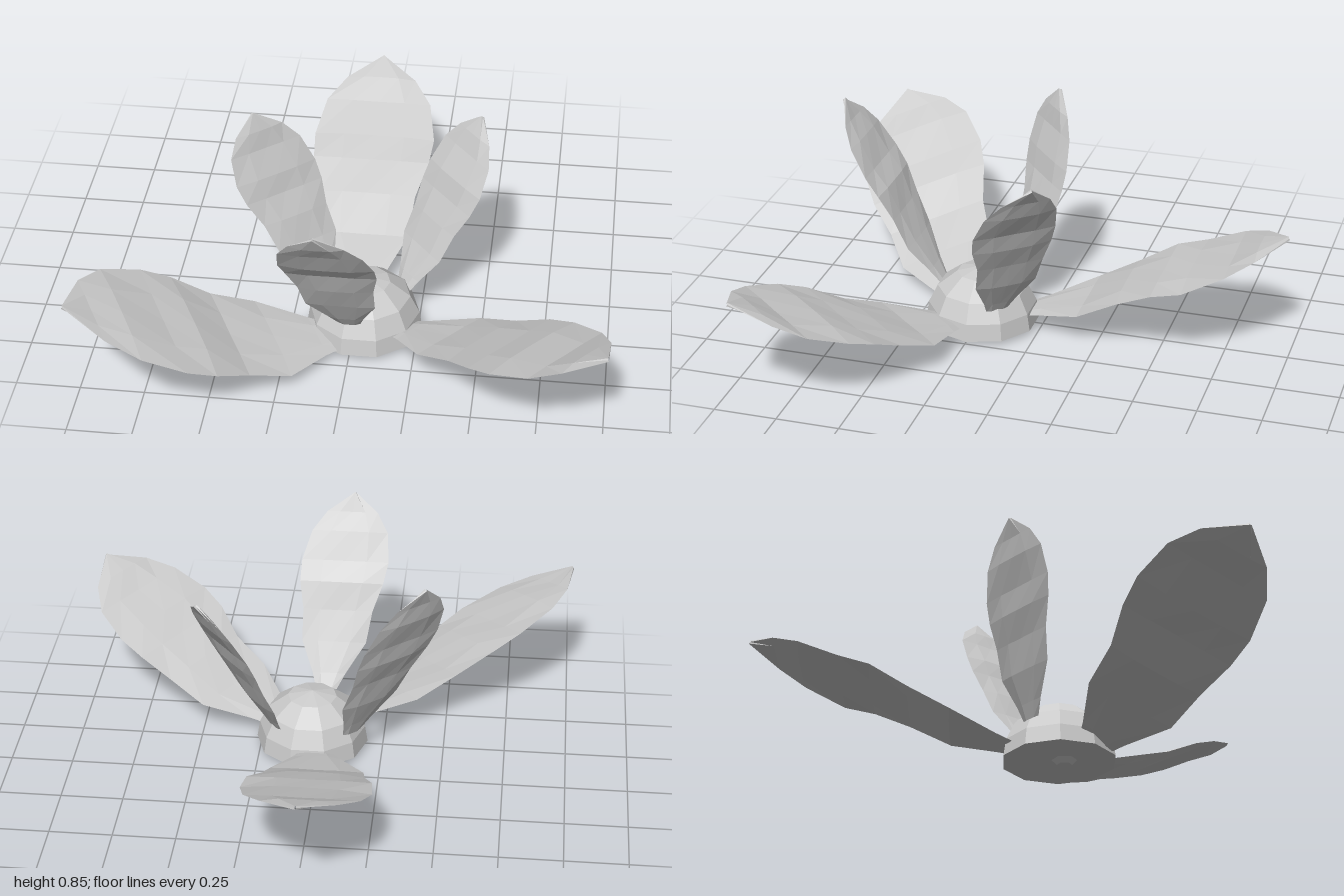
import * as THREE from 'three';

const material = new THREE.MeshStandardMaterial({ color: 0xcccccc, flatShading: true });

// Half-width along a petal: [fraction of length, half-width]
const PROFILE = [
  [0, 0.06], [0.08, 0.095], [0.24, 0.185], [0.4, 0.2], [0.54, 0.24],
  [0.65, 0.25], [0.8, 0.218], [0.9, 0.145], [1, 0.003],
];
// Cross-section loop: [position across the width, thickness sign]
const SECTION = [[-1, 0], [-0.5, 1], [0, 1], [0.5, 1], [1, 0], [0.5, -1], [0, -1], [-0.5, -1]];

// A thin faceted petal swept along a spine, gently cupped and rippled
function petal(name, spine, across, scale) {
  const curve = new THREE.CatmullRomCurve3(spine.map((p) => new THREE.Vector3(...p)));
  const w = new THREE.Vector3(...across);
  const positions = [];
  const index = [];
  const n = SECTION.length;
  PROFILE.forEach(([t, half], i) => {
    const centre = curve.getPointAt(t);
    const normal = new THREE.Vector3().crossVectors(w, curve.getTangentAt(t)).normalize();
    const ripple = i > 1 && i < 8 ? (i % 2 ? 0.006 : -0.006) : 0;
    for (const [s, side] of SECTION) {
      const lift = side * 0.007 + ripple * (1 - s * s) * scale;
      const p = centre.clone().addScaledVector(w, s * half * scale).addScaledVector(normal, lift);
      positions.push(p.x, p.y, p.z);
    }
    if (i === 0) return;
    for (let j = 0; j < n; j++) {
      const a = (i - 1) * n + j;
      const b = (i - 1) * n + ((j + 1) % n);
      index.push(a, b, b + n, a, b + n, a + n);
    }
  });
  const geometry = new THREE.BufferGeometry();
  geometry.setAttribute('position', new THREE.Float32BufferAttribute(positions, 3));
  geometry.setIndex(index);
  geometry.computeVertexNormals();
  const mesh = new THREE.Mesh(geometry, material);
  mesh.name = name;
  return mesh;
}

export function createModel() {
  const flower = new THREE.Group();
  flower.name = 'flower';

  // Ten-sided domed centre with a flat underside
  const outline = [[0, 0.02], [0.228, 0.02], [0.217, 0.09], [0.18, 0.165], [0.1, 0.228], [0, 0.25]];
  const dome = new THREE.Mesh(
    new THREE.LatheGeometry(outline.map(([r, y]) => new THREE.Vector2(r, y)), 10, Math.PI / 10),
    material,
  );
  dome.name = 'flowerCentre';
  dome.position.set(0.04, 0, 0.24);
  flower.add(dome);

  // Small root showing below the centre
  const root = new THREE.Mesh(new THREE.CylinderGeometry(0.06, 0.03, 0.03, 6), material);
  root.name = 'petalRoot';
  root.position.set(0.02, 0.015, 0.26);
  flower.add(root);

  // Three long, spreading outer petals
  flower.add(
    petal('outerPetalBack',
      [[0.01, 0.06, 0.08], [-0.02, 0.15, -0.2], [-0.02, 0.3, -0.48], [-0.02, 0.335, -0.61], [-0.02, 0.43, -0.81], [-0.02, 0.51, -0.98]],
      [1, 0, 0], 1),
    petal('outerPetalRight',
      [[-0.05, 0.04, 0.36], [-0.35, 0.14, 0.54], [-0.6, 0.3, 0.69], [-0.82, 0.42, 0.81], [-1, 0.51, 0.91]],
      [0.514, -0.28, 0.857], 1),
    petal('outerPetalLeft',
      [[0.17, 0.06, 0.31], [0.47, 0.17, 0.49], [0.65, 0.28, 0.64], [0.85, 0.37, 0.8], [1, 0.46, 0.92]],
      [-0.593, 0.09, 0.805], 1),
  );

  // Three shorter, upright inner petals
  flower.add(
    petal('innerPetalFront',
      [[0, 0.15, 0.42], [-0.02, 0.3, 0.52], [-0.04, 0.52, 0.63], [-0.06, 0.66, 0.73], [-0.08, 0.85, 0.85]],
      [1, 0, 0], 0.72),
    petal('innerPetalRight',
      [[-0.13, 0.13, 0.13], [-0.22, 0.34, 0.1], [-0.33, 0.6, 0.075], [-0.42, 0.85, 0.05]],
      [0.76, 0, -0.65], 0.72),
    petal('innerPetalLeft',
      [[0.18, 0.13, 0.14], [0.27, 0.35, 0.06], [0.375, 0.6, 0], [0.46, 0.81, -0.09]],
      [0.63, 0, 0.777], 0.68),
  );
  return flower;
}
